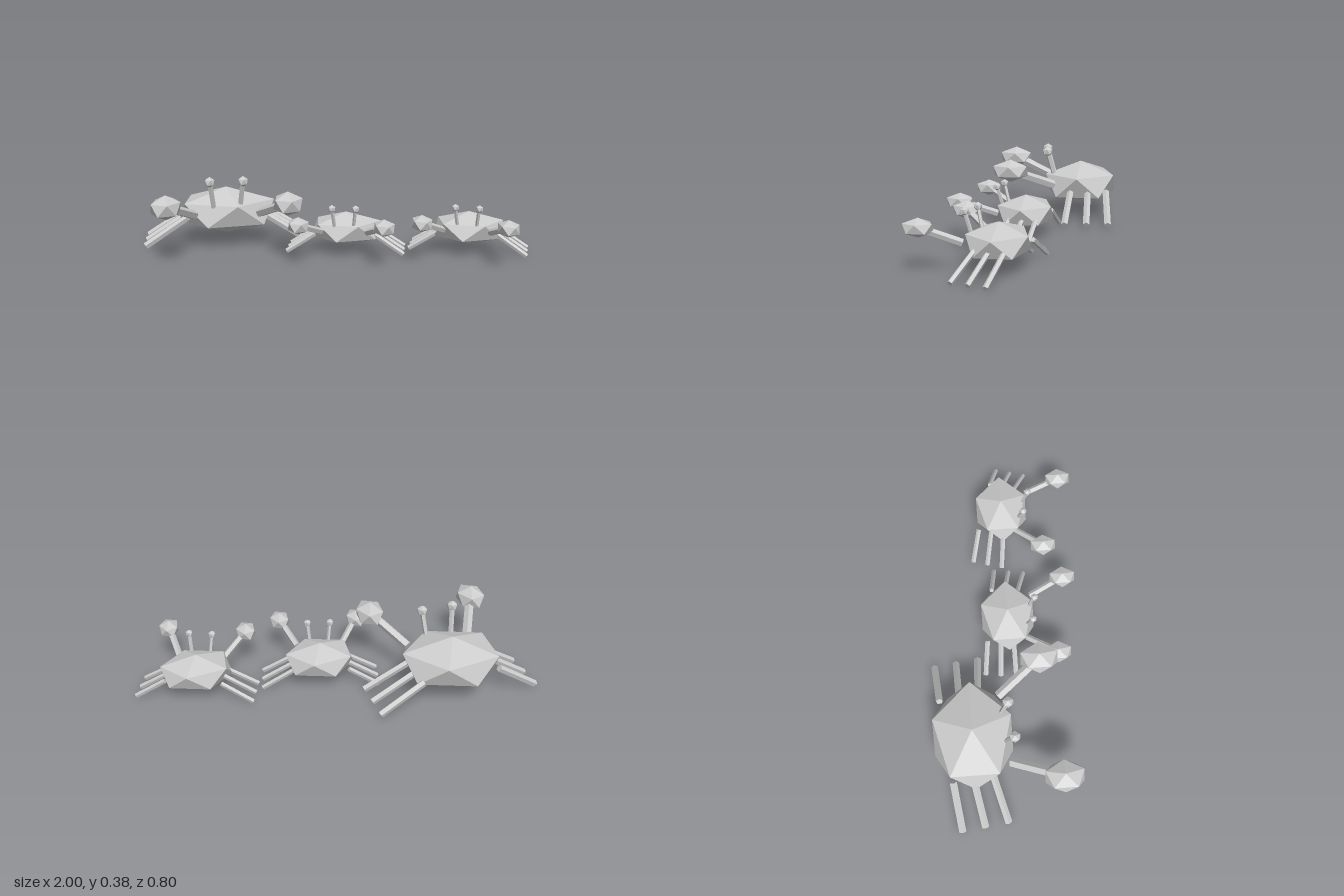
import * as THREE from 'three';

// Icosahedron standing on one vertex, so its two rings are level
function uprightIcosahedron() {
  return new THREE.IcosahedronGeometry(1, 0).rotateZ(-Math.atan(2 / (1 + Math.sqrt(5))));
}

export function createModel() {
  const shell = new THREE.MeshStandardMaterial({ color: 0xcccccc, flatShading: true });
  shell.name = 'shell grey';
  const ico = uprightIcosahedron();

  function blob(name, center, radii) {
    const mesh = new THREE.Mesh(ico, shell);
    mesh.name = name;
    mesh.position.copy(center);
    mesh.scale.set(...radii);
    return mesh;
  }

  // Five-sided rod between two points, with a ridge on top
  function rod(name, from, to, radius) {
    const geometry = new THREE.CylinderGeometry(radius, radius, from.distanceTo(to), 5, 1, false, Math.PI);
    geometry.rotateX(Math.PI / 2);
    const mesh = new THREE.Mesh(geometry, shell);
    mesh.name = name;
    mesh.position.lerpVectors(from, to, 0.5);
    mesh.lookAt(to);
    return mesh;
  }

  // One crab: the limbs turn by the heading, the rounded parts stay square
  function crab(name, x, z, size, heading) {
    const group = new THREE.Group();
    group.name = name;
    const up = new THREE.Vector3(0, 1, 0);
    const at = (px, py, pz) => new THREE.Vector3(px, py, pz).applyAxisAngle(up, heading);

    group.add(blob('body', at(0, 0.173, 0), [0.28, 0.123, 0.223]));

    for (const [side, s] of [['left', 1], ['right', -1]]) {
      // Claw on its arm
      const claw = at(s * 0.29, 0.28, 0.383);
      group.add(rod(side + 'Arm', at(s * 0.165, 0.185, 0.156), claw, 0.024));
      group.add(blob(side + 'Claw', claw, [0.08, 0.06, 0.106]));

      // Eye on its stalk
      const eye = at(s * 0.083, 0.357, 0.188);
      group.add(rod(side + 'EyeStalk', at(s * 0.068, 0.22, 0.15), eye, 0.013));
      group.add(blob(side + 'Eye', eye, [0.028, 0.028, 0.03]));

      // Three legs: hip z and foot z
      [[-0.132, -0.132], [-0.034, -0.02], [0.06, 0.094]].forEach(([hip, foot], i) => {
        group.add(rod(side + 'Leg' + (i + 1), at(s * 0.2, 0.153, hip), at(s * 0.42, 0.015, foot), 0.018));
      });
    }
    group.position.set(x, 0, z);
    group.scale.setScalar(size);
    return group;
  }

  const model = new THREE.Group();
  model.name = 'crabs';
  model.add(crab('largeCrab', -0.56, -0.208, 1, 0.12));
  model.add(crab('middleCrab', 0.062, 0.006, 0.7, -0.14));
  model.add(crab('outerCrab', 0.684, 0.017, 0.7, -0.28));
  return model;
}
